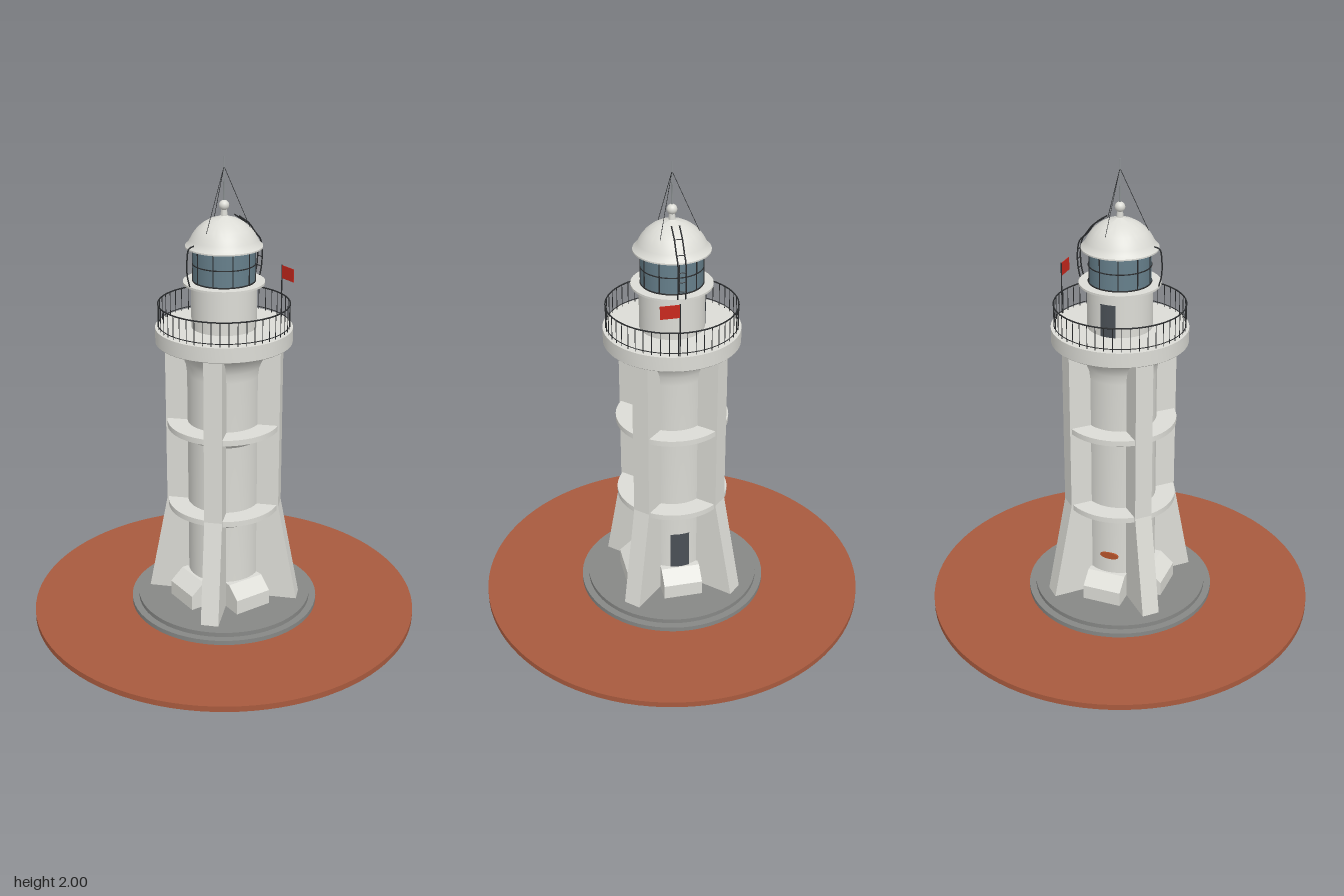
import * as THREE from 'three';
import { toCreasedNormals, mergeGeometries } from 'three/addons/utils/BufferGeometryUtils.js';

const mat = (name, color, side = THREE.FrontSide) => {
  const m = new THREE.MeshStandardMaterial({ color, side });
  m.name = name;
  return m;
};

export function createModel() {
  const root = new THREE.Group();
  root.name = 'lighthouse';
  const white = mat('paleConcrete', 0xdcdcd6);
  const grey = mat('baseGrey', 0x878886);
  const earth = mat('redEarth', 0xa85a3e);
  const glass = mat('lanternGlass', 0x667f8b);
  const dark = mat('darkMetal', 0x2a2c2e);
  const doorMat = mat('doorGrey', 0x4a5056, THREE.DoubleSide);
  const steel = mat('mastSteel', 0x8f9496);
  const red = mat('flagRed', 0xc8281e, THREE.DoubleSide);
  const orange = mat('plaqueOrange', 0xb5532a);

  const add = (name, geo, material, parent = root) => {
    const m = new THREE.Mesh(geo, material);
    m.name = name;
    parent.add(m);
    return m;
  };
  const lathe = (pts, seg = 64) => toCreasedNormals(
    new THREE.LatheGeometry(pts.map(p => new THREE.Vector2(...p)), seg), 0.5);
  const disc = (r, y0, y1, seg = 64) =>
    new THREE.CylinderGeometry(r, r, y1 - y0, seg).translate(0, (y0 + y1) / 2, 0);
  const ring = (r, tube, y) =>
    new THREE.TorusGeometry(r, tube, 6, 64).rotateX(Math.PI / 2).translate(0, y, 0);
  const tube = (pts, r, seg = 24) => new THREE.TubeGeometry(
    new THREE.CatmullRomCurve3(pts.map(p => new THREE.Vector3(...p))), seg, r, 6);
  // thin slab: profile in (radius, y), thickness across, pointing along +x
  const slab = (pts, width) => new THREE.ExtrudeGeometry(
    new THREE.Shape(pts.map(p => new THREE.Vector2(...p))),
    { depth: width, bevelEnabled: false }).translate(0, 0, -width / 2);
  // curved plate lying on a round wall, centred on angle a
  const plate = (r, half, y0, y1, a) => new THREE.CylinderGeometry(
    r, r, y1 - y0, 8, 1, true, a - half, half * 2).translate(0, (y0 + y1) / 2, 0);

  // Ground and stepped foundation
  add('ground', disc(0.84, 0, 0.025, 96), earth);
  add('lowerStep', disc(0.41, 0.025, 0.045), grey);
  add('upperStep', disc(0.38, 0.045, 0.065), grey);

  // Round shaft flaring into the gallery
  add('shaft', lathe([[0, 0.065], [0.155, 0.065], [0.155, 1.1], [0.16, 1.14],
    [0.172, 1.17], [0.195, 1.2], [0.22, 1.212], [0.282, 1.235], [0.285, 1.238],
    [0.285, 1.3], [0, 1.3]]), white);

  // Ledges with flared undersides
  for (const y of [0.515, 0.885]) {
    add('ledge', lathe([[0.15, y - 0.075], [0.157, y - 0.07], [0.175, y - 0.05],
      [0.205, y - 0.032], [0.24, y - 0.024], [0.24, y], [0.15, y]]), white);
  }

  // Four diagonal buttresses and four sloped blocks between them
  for (let i = 0; i < 4; i++) {
    const fin = add('buttress', slab([[0.1, 0.065], [0.33, 0.065], [0.244, 0.51],
      [0.244, 1.225], [0.1, 1.225]], 0.076), white);
    fin.rotation.y = Math.PI / 4 + i * Math.PI / 2;
    const block = add('footBlock', slab([[0.1, 0.065], [0.225, 0.065], [0.225, 0.13],
      [0.165, 0.18], [0.1, 0.18]], 0.17), white);
    block.rotation.y = i * Math.PI / 2;
  }

  // Entrance door and oval plaque
  add('entranceDoor', plate(0.159, 0.27, 0.17, 0.355, Math.PI / 2), doorMat);
  const plaque = add('plaque', new THREE.CylinderGeometry(1, 1, 0.009, 24), orange);
  plaque.scale.set(0.042, 1, 0.016);
  plaque.rotation.x = Math.PI / 2;
  plaque.position.set(-0.01, 0.268, -0.155);

  // Gallery railing
  const railing = new THREE.Group();
  railing.name = 'galleryRailing';
  root.add(railing);
  const posts = [];
  for (let i = 0; i < 48; i++) {
    const a = i / 48 * Math.PI * 2;
    posts.push(new THREE.CylinderGeometry(0.0017, 0.0017, 0.1, 5)
      .translate(0.272 * Math.sin(a), 1.35, 0.272 * Math.cos(a)));
  }
  add('railingPosts', mergeGeometries(posts), dark, railing);
  add('topRail', ring(0.272, 0.003, 1.4), dark, railing);
  add('lowerRail', ring(0.272, 0.0018, 1.312), dark, railing);

  // Watch room with its door and flange
  add('watchRoom', disc(0.135, 1.3, 1.486), white);
  add('galleryDoor', plate(0.1375, 0.24, 1.3, 1.44, Math.PI), doorMat);
  add('lanternFlange', disc(0.168, 1.485, 1.494), white);

  // Lantern glazing with bars
  add('lanternGlazing', disc(0.127, 1.494, 1.642, 48), glass);
  const bars = [ring(0.128, 0.0025, 1.567), ring(0.128, 0.003, 1.497), ring(0.128, 0.003, 1.638)]
    .map(g => g.toNonIndexed());
  for (let i = 0; i < 10; i++) {
    const a = (i + 0.5) / 10 * Math.PI * 2;
    bars.push(new THREE.BoxGeometry(0.004, 0.145, 0.004).toNonIndexed()
      .translate(0, 1.567, 0.128).rotateY(a));
  }
  add('lanternBars', mergeGeometries(bars), dark);

  // Dome roof, finial ball and mast
  add('dome', lathe([[0, 1.636], [0.158, 1.636], [0.158, 1.642], [0.147, 1.652],
    [0.138, 1.668], [0.126, 1.69], [0.108, 1.713], [0.083, 1.734], [0.054, 1.75],
    [0.022, 1.759], [0.014, 1.764], [0.012, 1.79], [0, 1.79]]), white);
  add('finialBall', new THREE.SphereGeometry(0.021, 24, 16).translate(0, 1.805, 0), white);
  add('mast', new THREE.CylinderGeometry(0.002, 0.004, 0.185, 8).translate(0, 1.9075, 0), steel);
  for (const [x, y, z] of [[0.02, 1.71, -0.108], [0.084, 1.71, 0.067], [-0.108, 1.71, 0.035]]) {
    add('guyWire', tube([[0, 1.96, 0], [x, y, z]], 0.0012, 1), dark);
  }

  // Ladder over the dome on the left, grab bar on the right
  const ladder = new THREE.Group();
  ladder.name = 'domeLadder';
  root.add(ladder);
  for (const z of [-0.016, 0.016]) {
    add('ladderRail', tube([[0.168, 1.494, z], [0.177, 1.54, z], [0.178, 1.6, z],
      [0.168, 1.65, z], [0.145, 1.676, z], [0.11, 1.722, z], [0.06, 1.758, z]], 0.003), dark, ladder);
  }
  for (const [x, y] of [[0.177, 1.53], [0.179, 1.57], [0.177, 1.61], [0.15, 1.672], [0.11, 1.722]]) {
    add('rung', new THREE.CylinderGeometry(0.002, 0.002, 0.032, 6)
      .rotateX(Math.PI / 2).translate(x, y, 0), dark, ladder);
  }
  add('grabBar', tube([[-0.166, 1.494, 0], [-0.177, 1.54, 0], [-0.178, 1.6, 0],
    [-0.168, 1.65, 0], [-0.145, 1.658, 0]], 0.003), dark);

  // Flag on the railing
  add('flagPole', new THREE.CylinderGeometry(0.0025, 0.0025, 0.225, 6)
    .translate(0.272, 1.4125, 0.03), dark);
  add('flag', new THREE.BoxGeometry(0.003, 0.055, 0.08).translate(0.272, 1.495, 0.07), red);

  return root;
}
